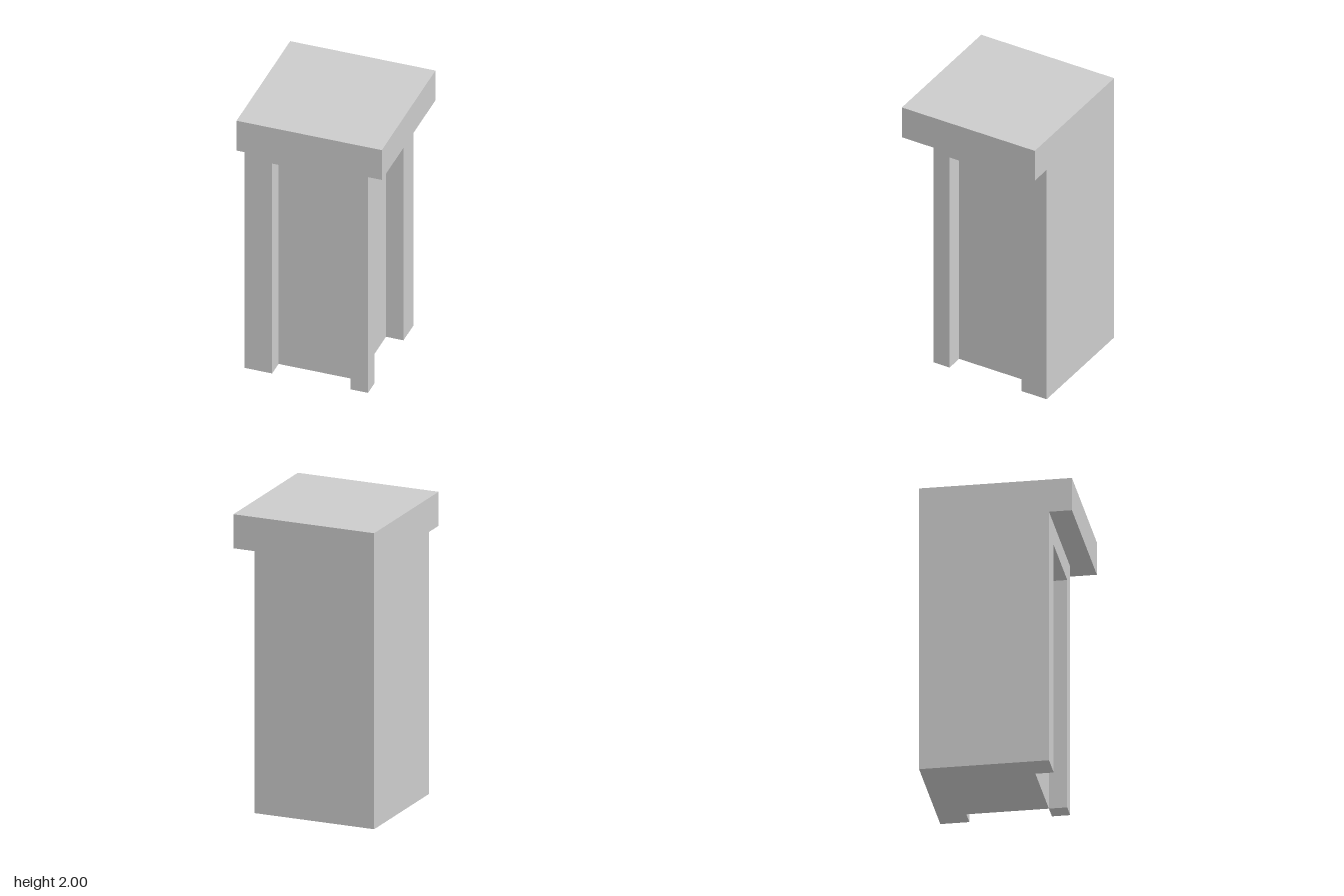
import * as THREE from 'three';

export function createModel() {
  const group = new THREE.Group();
  const material = new THREE.MeshStandardMaterial({ color: 0xcccccc, flatShading: true });

  // Plan lines, the same along x and z
  const back = -0.5;    // flush rear sides
  const jamb = -0.31;   // far edge of each recess
  const panel = 0.23;   // recessed panel plane and near edge of each recess
  const face = 0.35;    // outer wall face
  const capEdge = 0.5;
  // Heights
  const recessTop = 1.62, capBottom = 1.77, top = 2;

  // Box given by its limits on each axis
  function block(name, [x0, x1], [y0, y1], [z0, z1]) {
    const mesh = new THREE.Mesh(new THREE.BoxGeometry(x1 - x0, y1 - y0, z1 - z0), material);
    mesh.position.set((x0 + x1) / 2, (y0 + y1) / 2, (z0 + z1) / 2);
    mesh.name = name;
    group.add(mesh);
  }

  // Core, whose two exposed sides are the recessed panels
  block('core', [back, panel], [0, recessTop], [back, panel]);

  // Piers framing the recesses, and the free corner post between them
  const pierHeight = [0, recessTop];
  block('frontPier', [back, jamb], pierHeight, [panel, face]);
  block('sidePier', [panel, face], pierHeight, [back, jamb]);
  block('cornerPost', [panel, face], pierHeight, [panel, face]);

  // Lintel over the recesses and overhanging cap slab
  block('lintel', [back, face], [recessTop, capBottom], [back, face]);
  block('cap', [back, capEdge], [capBottom, top], [back, capEdge]);

  return group;
}
